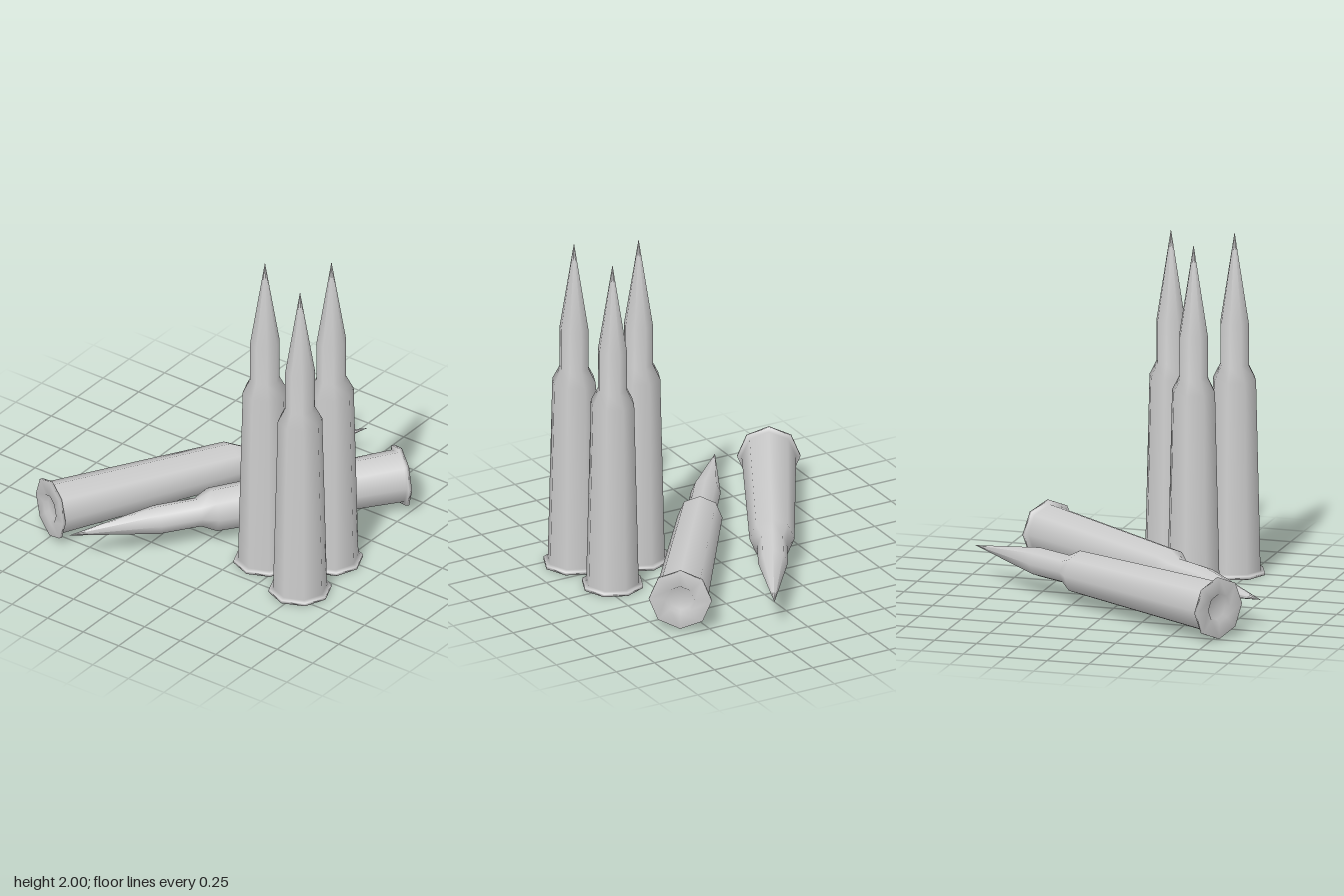
import * as THREE from 'three';

export function createModel() {
  const group = new THREE.Group();
  const metal = new THREE.MeshStandardMaterial({ color: 0xcccccc });
  metal.name = 'grey metal';

  // Half-section from the base pocket, over the rim and case, to the tip
  const profile = [
    [0, 0.025], [0.07, 0.025], [0.085, 0.001], [0.18, 0], [0.18, 0.018],
    [0.155, 0.024], [0.128, 1.14], [0.085, 1.225], [0.085, 1.47], [0, 2],
  ].map(([r, y]) => new THREE.Vector2(r, y));
  const cartridge = new THREE.LatheGeometry(profile, 8);

  // Standing cartridges
  [[0.385, 0.275], [0.685, 0.045], [0.73, 0.41]].forEach(([x, z], i) => {
    const mesh = new THREE.Mesh(cartridge, metal);
    mesh.name = `standingCartridge${i + 1}`;
    mesh.position.set(x, 0, z);
    group.add(mesh);
  });

  // Lying cartridges, each given by base centre and tip in plan
  const up = new THREE.Vector3(0, 1, 0);
  [
    [[-0.755, 0.79], [0.19, -0.95]],
    [[0.652, -0.68], [-0.49, 0.945]],
  ].forEach(([base, tip], i) => {
    const axis = new THREE.Vector3(tip[0] - base[0], 0, tip[1] - base[1]).normalize();
    const side = new THREE.Vector3().crossVectors(axis, up);
    const mesh = new THREE.Mesh(cartridge, metal);
    mesh.name = `lyingCartridge${i + 1}`;
    mesh.quaternion.setFromRotationMatrix(new THREE.Matrix4().makeBasis(side, axis, up));
    mesh.position.set(base[0], 0.185, base[1]);
    group.add(mesh);
  });

  return group;
}
